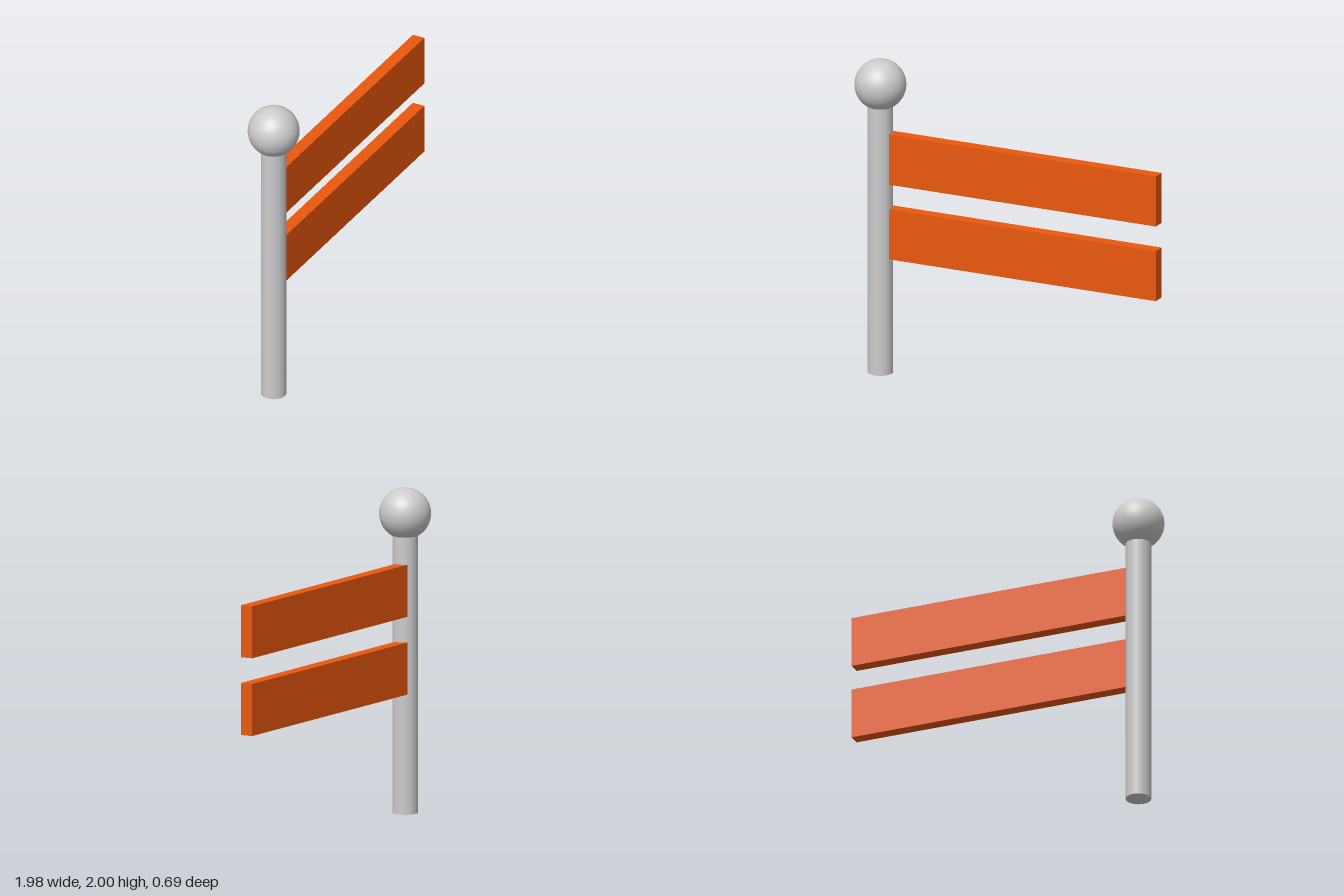
import * as THREE from 'three';

export function createModel() {
  const group = new THREE.Group();
  const grey = new THREE.MeshStandardMaterial({ color: 0xcccccc });
  const orange = new THREE.MeshStandardMaterial({ color: 0xea580c });
  const postX = -0.832, postZ = 0.187;

  function add(name, geometry, material, x, y, z) {
    const mesh = new THREE.Mesh(geometry, material);
    mesh.name = name;
    mesh.position.set(x, y, z);
    group.add(mesh);
    return mesh;
  }

  // Upright post with a ball on top
  add('post', new THREE.CylinderGeometry(0.078, 0.078, 1.76, 48), grey, postX, 0.88, postZ);
  add('ballFinial', new THREE.SphereGeometry(0.158, 48, 32), grey, postX, 1.842, postZ);

  // Two boards, swung back from the post; their inner ends sit inside it
  const swing = THREE.MathUtils.degToRad(15);
  const length = 1.86;
  const endX = 0.977, endZ = -0.31;
  const boardGeometry = new THREE.BoxGeometry(length, 0.32, 0.079);
  [['lowerBoard', 0.899], ['upperBoard', 1.377]].forEach(([name, y]) => {
    const x = endX - Math.cos(swing) * length / 2;
    const z = endZ + Math.sin(swing) * length / 2;
    add(name, boardGeometry, orange, x, y, z).rotation.y = swing;
  });

  return group;
}
